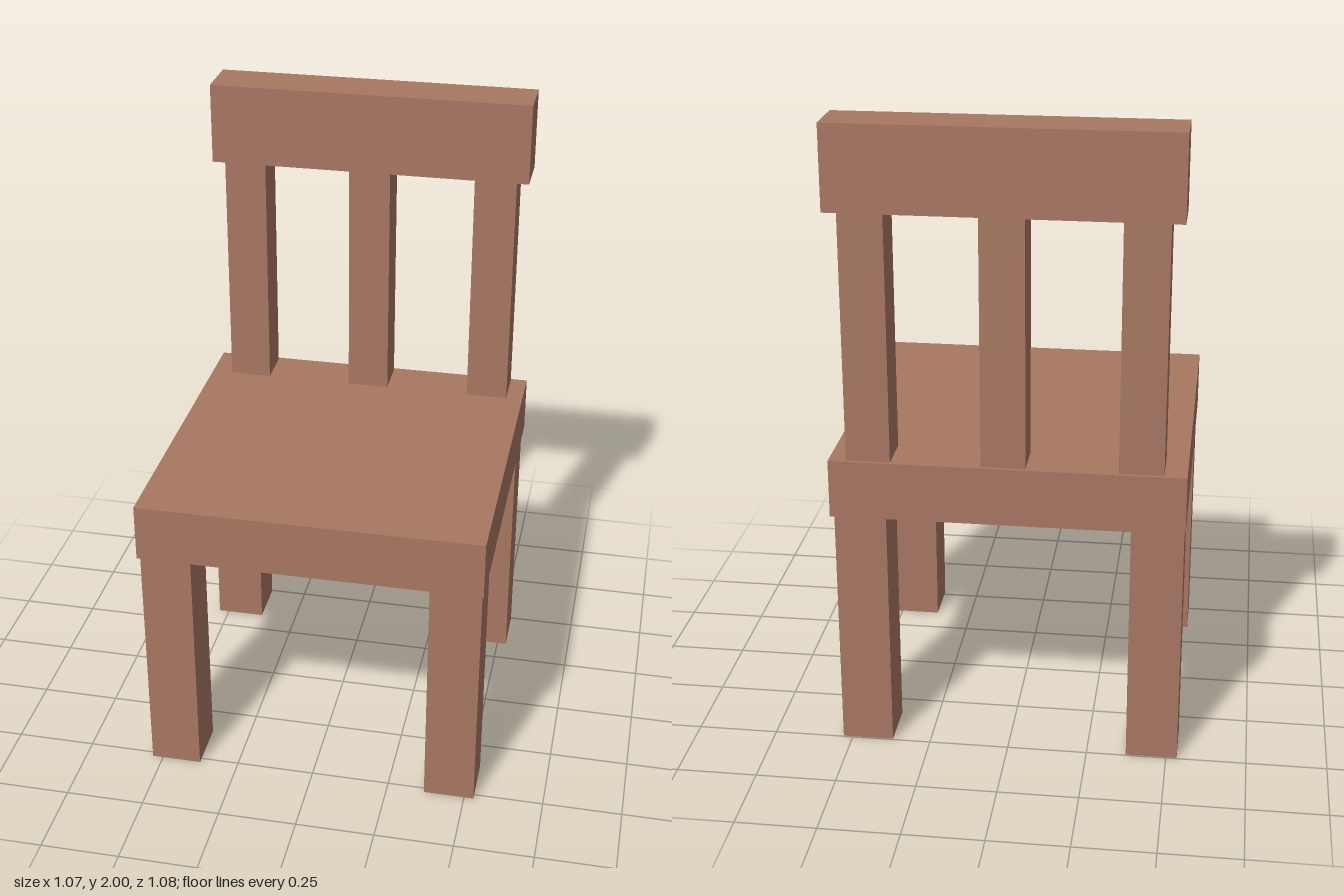
import * as THREE from 'three';

const wood = new THREE.MeshStandardMaterial({ color: 0xa87762, flatShading: true });

// Box spanning [min, max] on each axis
function beam(name, [x0, x1], [y0, y1], [z0, z1]) {
  const mesh = new THREE.Mesh(new THREE.BoxGeometry(x1 - x0, y1 - y0, z1 - z0), wood);
  mesh.name = name;
  mesh.position.set((x0 + x1) / 2, (y0 + y1) / 2, (z0 + z1) / 2);
  return mesh;
}

export function createModel() {
  const chair = new THREE.Group();
  chair.name = 'chair';

  // Seat slab
  const seatBottom = 0.79, seatTop = 0.972, railBottom = 1.742;
  chair.add(beam('seat', [-0.538, 0.536], [seatBottom, seatTop], [-0.529, 0.541]));

  // Four square legs
  for (const [end, z] of [['front', [0.356, 0.519]], ['back', [-0.496, -0.335]]]) {
    chair.add(beam(end + 'RightLeg', [-0.534, -0.374], [0, seatBottom], z));
    chair.add(beam(end + 'LeftLeg', [0.37, 0.53], [0, seatBottom], z));
  }

  // Three upright back slats
  for (const [side, x] of [['right', -0.403], ['middle', 0.008], ['left', 0.415]]) {
    chair.add(beam(side + 'BackSlat', [x - 0.067, x + 0.067], [seatTop, railBottom], [-0.518, -0.386]));
  }

  // Top rail of the backrest
  chair.add(beam('topRail', [-0.51, 0.521], [railBottom, 2], [-0.541, -0.379]));

  return chair;
}
